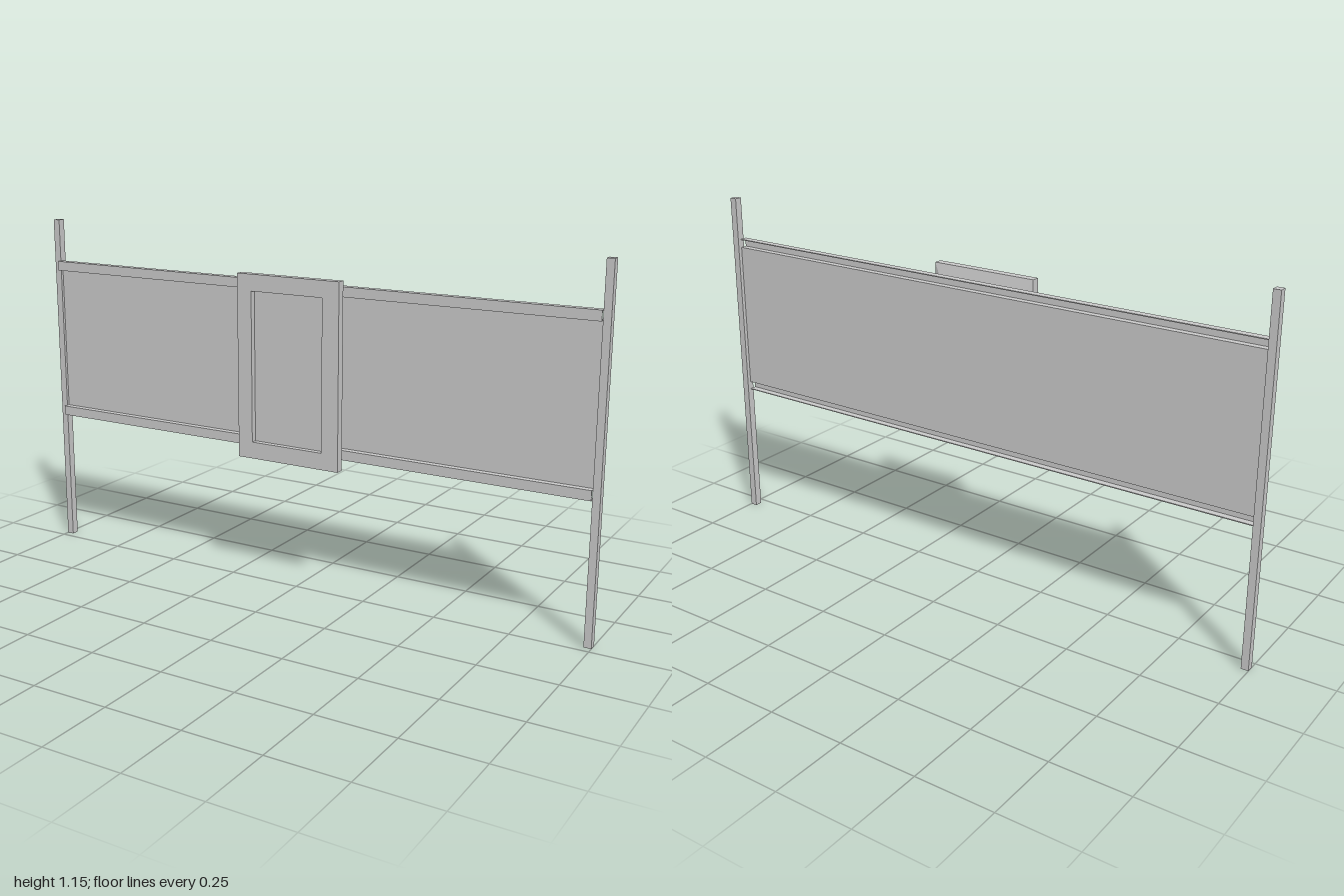
import * as THREE from 'three';

const material = new THREE.MeshStandardMaterial({ color: 0xcccccc });

function add(parent, name, geometry) {
  const mesh = new THREE.Mesh(geometry, material);
  mesh.name = name;
  parent.add(mesh);
  return mesh;
}

// Box given by its minimum and maximum on each axis
function box(parent, name, [x0, x1], [y0, y1], [z0, z1]) {
  const mesh = add(parent, name, new THREE.BoxGeometry(x1 - x0, y1 - y0, z1 - z0));
  mesh.position.set((x0 + x1) / 2, (y0 + y1) / 2, (z0 + z1) / 2);
  return mesh;
}

export function createModel() {
  const model = new THREE.Group();
  const span = [-0.977, 0.977];

  // Two square posts
  box(model, 'leftPost', [0.976, 1], [0, 1.155], [-0.049, -0.024]);
  box(model, 'rightPost', [-1, -0.976], [0, 1.155], [-0.049, -0.024]);

  // Channel rails, open towards the back
  for (const [name, y] of [['topRail', 0.98], ['bottomRail', 0.458]]) {
    const rail = new THREE.Group();
    rail.name = name;
    box(rail, 'railWeb', span, [y, y + 0.032], [-0.014, -0.011]);
    box(rail, 'railUpperFlange', span, [y + 0.029, y + 0.032], [-0.036, -0.014]);
    box(rail, 'railLowerFlange', span, [y, y + 0.003], [-0.036, -0.014]);
    model.add(rail);
  }

  // Thin panel between the rails
  box(model, 'panel', span, [0.488, 0.982], [-0.036, -0.033]);

  // Display housing: frame with a recessed screen
  const display = new THREE.Group();
  display.name = 'display';
  const [x0, x1, y0, y1] = [-0.187, 0.181, 0.435, 1.037];
  const [wx0, wx1, wy0, wy1] = [-0.135, 0.122, 0.49, 0.983];
  const outline = new THREE.Shape([[x0, y0], [x1, y0], [x1, y1], [x0, y1]]
    .map(([x, y]) => new THREE.Vector2(x, y)));
  outline.holes.push(new THREE.Path([[wx0, wy0], [wx0, wy1], [wx1, wy1], [wx1, wy0]]
    .map(([x, y]) => new THREE.Vector2(x, y))));
  add(display, 'displayFrame',
    new THREE.ExtrudeGeometry(outline, { depth: 0.027, bevelEnabled: false })).position.z = 0.024;
  box(display, 'screen', [wx0, wx1], [wy0, wy1], [0.024, 0.032]);

  // Tapered back cover: a box narrowed towards the rear
  const cover = new THREE.BoxGeometry(x1 - x0, y1 - y0, 0.031).toNonIndexed();
  const p = cover.attributes.position;
  for (let i = 0; i < p.count; i++) {
    if (p.getZ(i) < 0) p.setXY(i, p.getX(i) * 0.52, p.getY(i) * 0.45);
  }
  cover.computeVertexNormals();
  add(display, 'backCover', cover)
    .position.set((x0 + x1) / 2, (y0 + y1) / 2, 0.0085);
  model.add(display);

  return model;
}
